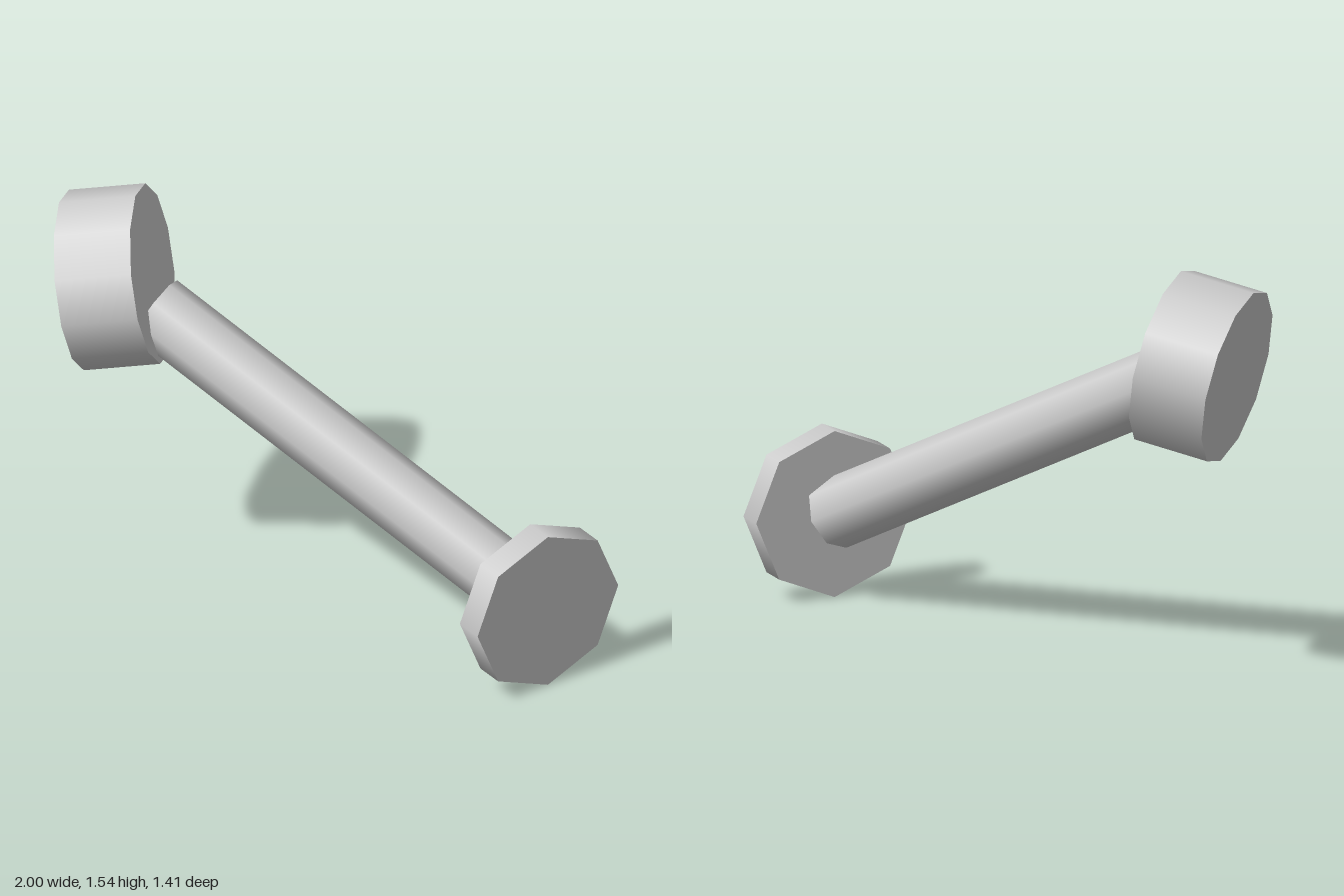
import * as THREE from 'three';

const grey = new THREE.MeshStandardMaterial({ color: 0xcccccc });
grey.name = 'plain grey';

// Capped cylinder between two points, with one corner turned to the top
function rod(name, from, to, radius, sides) {
  const a = new THREE.Vector3(...from);
  const b = new THREE.Vector3(...to);
  const axis = b.clone().sub(a);
  const mesh = new THREE.Mesh(new THREE.CylinderGeometry(radius, radius, axis.length(), sides), grey);
  axis.normalize();
  const side = new THREE.Vector3().crossVectors(axis, new THREE.Vector3(0, 1, 0)).normalize();
  const up = new THREE.Vector3().crossVectors(side, axis);
  mesh.quaternion.setFromRotationMatrix(new THREE.Matrix4().makeBasis(side, axis, up));
  mesh.position.copy(a).add(b).multiplyScalar(0.5);
  mesh.name = name;
  return mesh;
}

export function createModel() {
  const model = new THREE.Group();
  model.name = 'wallLamp';
  model.add(
    // eight-sided mounting plate
    rod('wallPlate', [0.888, 0.318, -0.39], [1, 0.318, -0.39], 0.315, 8),
    // slanted arm from the plate to the back of the head
    rod('arm', [0.888, 0.318, -0.393], [-0.512, 1.104, 0.296], 0.131, 8),
    // twelve-sided head, tilted slightly down
    rod('head', [-0.567, 1.216, 0.268], [-0.767, 1.16, 0.468], 0.331, 12),
  );
  return model;
}
